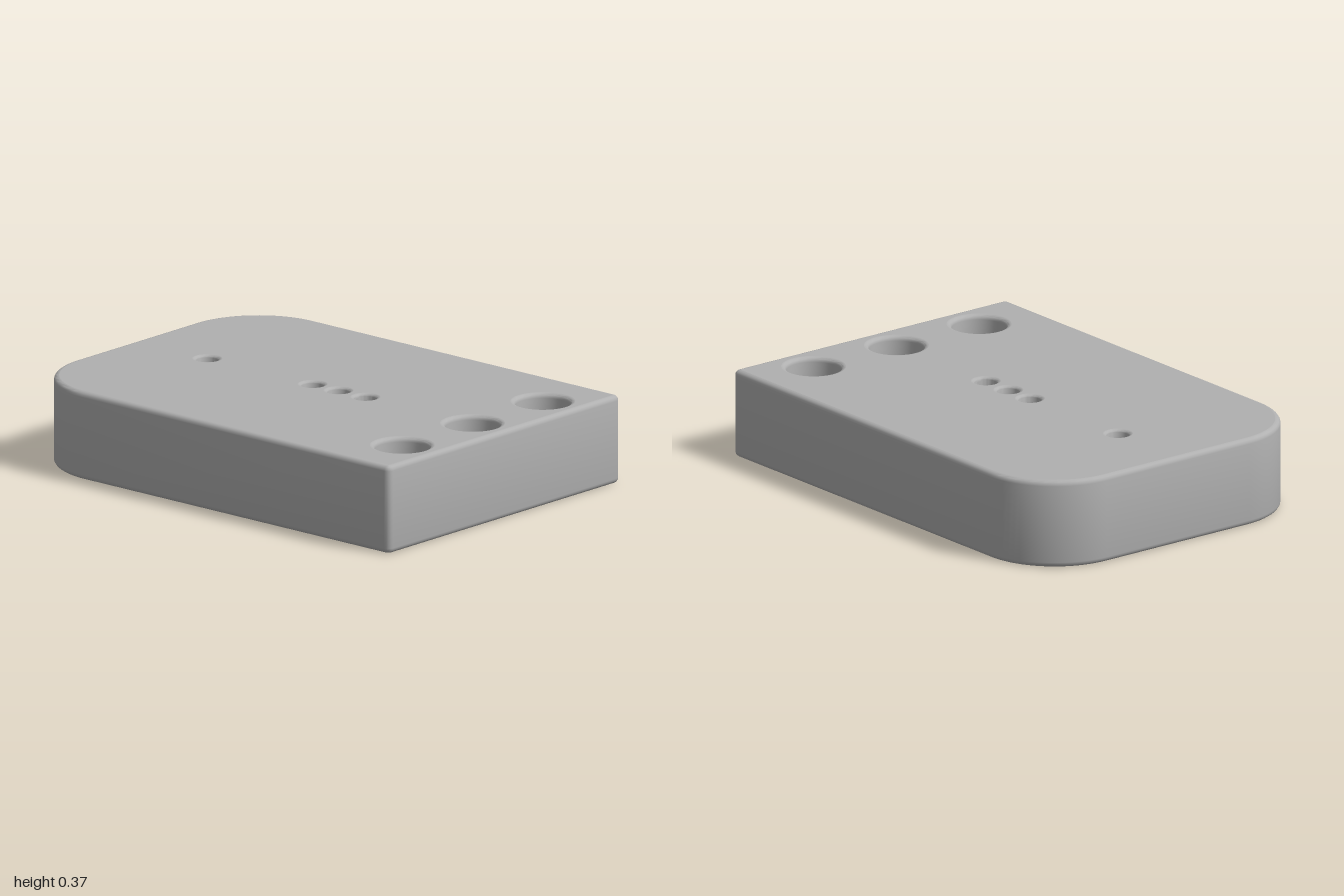
import * as THREE from 'three';
import { toCreasedNormals } from 'three/addons/utils/BufferGeometryUtils.js';

const W = 0.71, L = 1, H = 0.37;      // half width, half length, height
const EDGE = 0.022;                   // rounding of the outer edges
const POCKET = 0.25, BORE = 0.17;     // pocket ceiling and counterbore floor heights

// Contours are lists of Vector2(x, -z), counter-clockwise seen from above.
function arc(cx, cy, r, from, to, n) {
  return Array.from({ length: n + 1 }, (_, i) => {
    const a = from + (to - from) * i / n;
    return new THREE.Vector2(cx + r * Math.cos(a), cy + r * Math.sin(a));
  });
}

function circle(x, z, r) {
  return arc(x, -z, r, 0, Math.PI * 2, 40).slice(0, -1);
}

// Plate outline: large rounded corners at the back, tiny ones at the front
function outline(inset) {
  const q = Math.PI / 2, R = 0.34, s = 0.026;
  return [
    ...arc(W - R, L - R, R - inset, 0, q, 20),
    ...arc(-W + R, L - R, R - inset, q, 2 * q, 20),
    ...arc(-W + s, -L + s, s - inset, 2 * q, 3 * q, 4),
    ...arc(W - s, -L + s, s - inset, 3 * q, 4 * q, 4),
  ];
}

// Underside pocket: rounded front end, widening to the back, tapered tail
function pocketOutline() {
  const q = Math.PI / 2, r = 0.12;
  return [
    new THREE.Vector2(0.215, 0.63), new THREE.Vector2(0.13, 0.945),
    new THREE.Vector2(-0.13, 0.945), new THREE.Vector2(-0.215, 0.63),
    ...arc(-0.165 + r, -0.41 + r, r, 2 * q, 3 * q, 10),
    ...arc(0.165 - r, -0.41 + r, r, 3 * q, 4 * q, 10),
  ];
}

// Wall through rings [contour, y]; upward order faces out, downward order faces in
function loft(rings) {
  const n = rings[0][0].length, pos = [], idx = [];
  for (const [pts, y] of rings) for (const p of pts) pos.push(p.x, y, -p.y);
  for (let j = 0; j < rings.length - 1; j++) {
    for (let i = 0; i < n; i++) {
      const k = (i + 1) % n, a = j * n + i, b = j * n + k;
      idx.push(a, b, b + n, a, b + n, a + n);
    }
  }
  const g = new THREE.BufferGeometry();
  g.setAttribute('position', new THREE.Float32BufferAttribute(pos, 3));
  g.setIndex(idx);
  return toCreasedNormals(g, 0.6);
}

// Flat face with holes, looking up or down
function face(contour, holes, y, up) {
  const shape = new THREE.Shape(contour);
  shape.holes = holes.map((h) => new THREE.Path(h));
  const g = new THREE.ShapeGeometry(shape).rotateX(-Math.PI / 2).translate(0, y, 0);
  if (!up) {
    g.index.array.reverse();
    g.computeVertexNormals();
  }
  return g;
}

// Hole wall with a rounded mouth at the top face
function holeWall(x, z, r, fillet, bottom) {
  const rings = [];
  for (let i = 0; i <= 5; i++) {
    const a = i / 5 * Math.PI / 2;
    rings.push([circle(x, z, r + fillet * (1 - Math.sin(a))), H - fillet * (1 - Math.cos(a))]);
  }
  rings.push([circle(x, z, r), bottom]);
  return loft(rings);
}

export function createModel() {
  const group = new THREE.Group();
  const grey = new THREE.MeshStandardMaterial({ color: 0xb0b0b0 });
  grey.name = 'plate grey';
  const add = (name, geometry) => {
    const mesh = new THREE.Mesh(geometry, grey);
    mesh.name = name;
    group.add(mesh);
  };

  const pinZ = [-0.61, -0.04, 0.1, 0.245], pinR = 0.045, pinFillet = 0.016;
  const boltX = [-0.43, 0, 0.43], boltZ = 0.825, boltR = 0.06, boreR = 0.112, boreFillet = 0.02;
  const pocket = pocketOutline();

  // Outer wall with rounded lower and upper edges
  const rim = [];
  for (let i = 0; i <= 4; i++) {
    const a = i / 4 * Math.PI / 2;
    rim.push([EDGE * (1 - Math.sin(a)), EDGE * (1 - Math.cos(a))]);
  }
  add('outerWall', loft([
    ...rim.map(([inset, d]) => [outline(inset), d]),
    ...rim.slice().reverse().map(([inset, d]) => [outline(inset), H - d]),
  ]));

  // Top and bottom faces
  add('topFace', face(outline(EDGE), [
    ...pinZ.map((z) => circle(0, z, pinR + pinFillet)),
    ...boltX.map((x) => circle(x, boltZ, boreR + boreFillet)),
  ], H, true));
  add('bottomFace', face(outline(EDGE), [
    pocket, ...boltX.map((x) => circle(x, boltZ, boltR)),
  ], 0, false));

  // Pocket in the underside
  add('pocketWall', loft([[pocket, POCKET], [pocket, 0]]));
  add('pocketCeiling', face(pocket, pinZ.map((z) => circle(0, z, pinR)), POCKET, false));

  // Small holes through to the pocket
  for (const z of pinZ) add('pinHole', holeWall(0, z, pinR, pinFillet, POCKET));

  // Counterbored bolt holes
  for (const x of boltX) {
    const inner = circle(x, boltZ, boltR);
    add('counterbore', holeWall(x, boltZ, boreR, boreFillet, BORE));
    add('counterboreFloor', face(circle(x, boltZ, boreR), [inner], BORE, true));
    add('boltHole', loft([[inner, BORE], [inner, 0]]));
  }
  return group;
}
